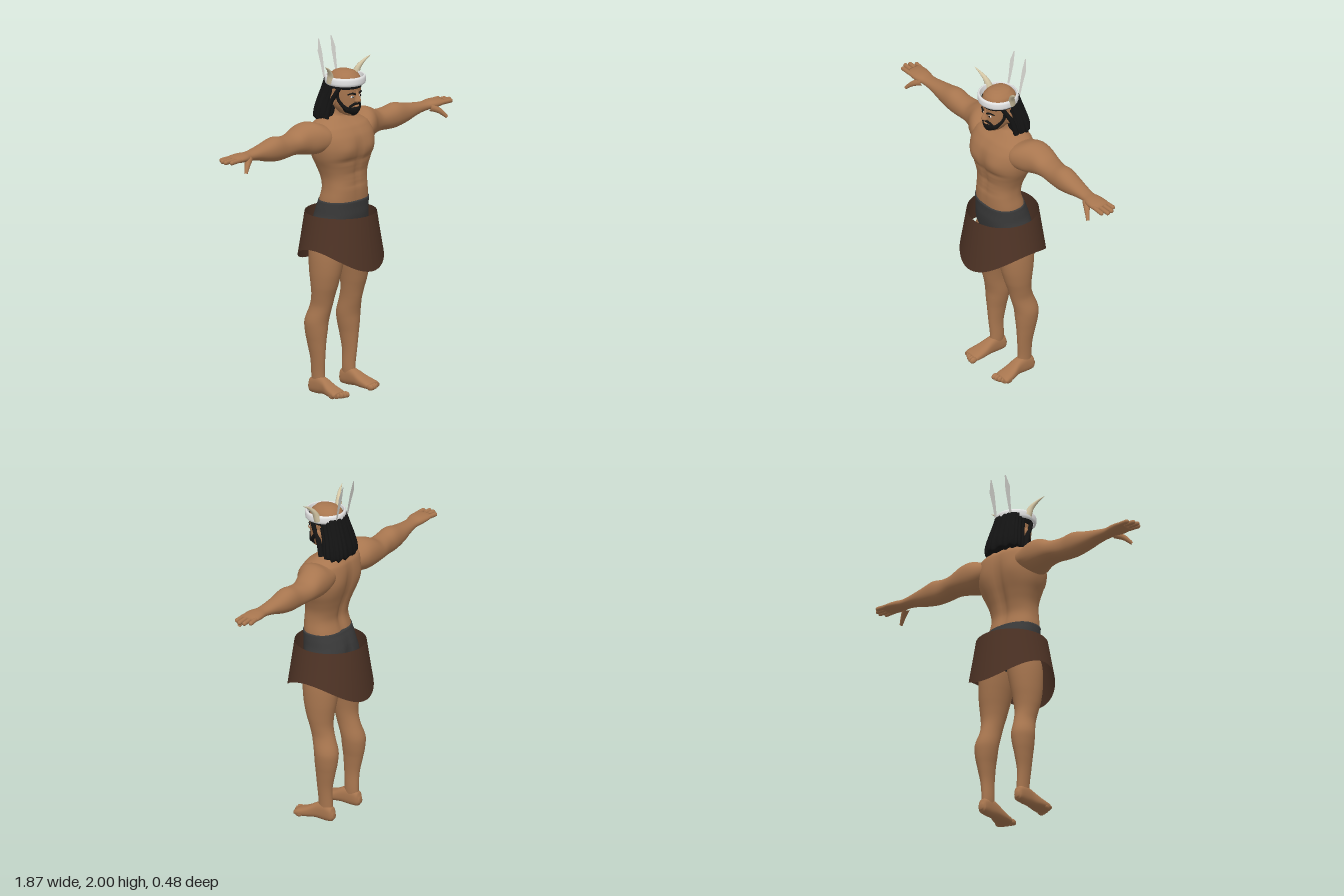
import * as THREE from 'three';

const mat = (name, color, extra = {}) => {
  const m = new THREE.MeshStandardMaterial({ color, ...extra });
  m.name = name;
  return m;
};
const gauss = (d, s) => Math.exp(-(d * d) / (s * s));

// Loft along an axis. Rows: [t, a0, a1, b0, b1], t rising.
// (a, b) is (z, x) for axis y, (y, z) for axis x, (x, y) for axis z.
function loft(axis, rows, { seg = 32, steps = 4, pow = 2, bump } = {}) {
  const order = { x: [2, 0, 1], y: [1, 2, 0], z: [0, 1, 2] }[axis]; // picks from [a, b, t]
  const pos = [], idx = [], last = rows.length - 1;
  const put = (a, b, t, ang) => {
    const s = [a, b, t];
    const v = new THREE.Vector3(s[order[0]], s[order[1]], s[order[2]]);
    if (bump) bump(v, ang);
    pos.push(v.x, v.y, v.z);
  };
  const cr = (k, u, c) => {
    const r = (i) => rows[Math.min(last, Math.max(0, i))][c];
    const p0 = r(k - 1), p1 = r(k), p2 = r(k + 1), p3 = r(k + 2);
    const m1 = (p2 - p0) / 2, m2 = (p3 - p1) / 2;
    return p1 + m1 * u + (3 * (p2 - p1) - 2 * m1 - m2) * u * u + (2 * (p1 - p2) + m1 + m2) * u * u * u;
  };
  const rings = last * steps + 1, sp = (v) => Math.sign(v) * Math.abs(v) ** (2 / pow);
  for (let i = 0; i < rings; i++) {
    const k = Math.min(last - 1, Math.floor(i / steps)), u = i / steps - k;
    const [a0, a1, b0, b1] = [1, 2, 3, 4].map((c) => cr(k, u, c));
    const t = rows[k][0] + (rows[k + 1][0] - rows[k][0]) * u;
    for (let j = 0; j < seg; j++) {
      const g = (j / seg) * Math.PI * 2;
      put((a0 + a1) / 2 + sp(Math.cos(g)) * (a1 - a0) / 2, (b0 + b1) / 2 + sp(Math.sin(g)) * (b1 - b0) / 2, t, g);
      const n = (j + 1) % seg, p = i * seg + j, q = i * seg + n;
      if (i < rings - 1) idx.push(p, q, q + seg, p, q + seg, p + seg);
    }
  }
  for (const [row, base] of [[rows[0], 0], [rows[last], (rings - 1) * seg]]) {
    const c = pos.length / 3;
    put((row[1] + row[2]) / 2, (row[3] + row[4]) / 2, row[0], 0);
    for (let j = 0; j < seg; j++) {
      const p = base + j, q = base + (j + 1) % seg;
      base ? idx.push(c, p, q) : idx.push(c, q, p);
    }
  }
  const geo = new THREE.BufferGeometry();
  geo.setAttribute('position', new THREE.Float32BufferAttribute(pos, 3));
  geo.setIndex(idx);
  geo.computeVertexNormals();
  return geo;
}
// Rows symmetric in x: [y, z0, z1, halfWidth]
const sym = (rows) => rows.map(([y, z0, z1, w]) => [y, z0, z1, -w, w]);

function mirrored(geo) {
  const g = geo.clone().scale(-1, 1, 1), i = g.index.array;
  for (let k = 0; k < i.length; k += 3) [i[k], i[k + 1]] = [i[k + 1], i[k]];
  g.computeVertexNormals();
  return g;
}
const V = (p) => new THREE.Vector3(...p);

// Tube tapering from r0 to r1 through the points
function taper(points, r0, r1, n = 16) {
  const curve = new THREE.CatmullRomCurve3(points.map(V)), R = 10;
  const g = new THREE.TubeGeometry(curve, n, 1, R), p = g.attributes.position;
  for (let i = 0; i < p.count; i++) {
    const u = Math.floor(i / (R + 1)) / n, c = curve.getPointAt(u);
    const v = new THREE.Vector3().fromBufferAttribute(p, i).sub(c).multiplyScalar(r0 + (r1 - r0) * u).add(c);
    p.setXYZ(i, v.x, v.y, v.z);
  }
  return g;
}
function capsule(a, b, r) {
  const A = V(a), B = V(b), d = B.clone().sub(A);
  const q = new THREE.Quaternion().setFromUnitVectors(new THREE.Vector3(0, 1, 0), d.clone().normalize());
  const m = A.add(B).multiplyScalar(0.5);
  return new THREE.CapsuleGeometry(r, d.length(), 5, 12).applyQuaternion(q).translate(m.x, m.y, m.z);
}
const blob = (c, s) => new THREE.SphereGeometry(1, 16, 12).scale(...s).translate(...c);

export function createModel() {
  const root = new THREE.Group();
  root.name = 'figure';
  const skin = mat('skin', 0xa8764f), hair = mat('hair black', 0x141414), white = mat('band white', 0xe9e9e9);
  const cloth = mat('cloth grey', 0x3a3a3a), horn = mat('horn ivory', 0xd6c8a6);
  const hide = mat('hide brown', 0x4e3325, { side: THREE.DoubleSide });
  const plume = mat('feather grey', 0xd9d9d3, { side: THREE.DoubleSide });
  const add = (name, geo, m) => {
    const mesh = new THREE.Mesh(geo, m);
    mesh.name = name;
    root.add(mesh);
  };
  const pair = (name, geo, m) => {
    add(name + 'Left', geo, m);
    add(name + 'Right', mirrored(geo), m);
  };

  // Torso with chest, belly and back muscles
  add('torso', loft('y', sym([
    [1.05, -.1, .12, .148], [1.11, -.086, .127, .15], [1.18, -.07, .128, .141], [1.24, -.08, .122, .143],
    [1.3, -.1, .126, .163], [1.36, -.12, .14, .19], [1.42, -.132, .145, .203], [1.48, -.135, .135, .2],
    [1.53, -.127, .1, .185], [1.56, -.105, .055, .135], [1.585, -.08, .03, .065], [1.65, -.06, .04, .055],
  ]), { seg: 64, steps: 5, pow: 2.4, bump: (v) => {
    const ax = Math.abs(v.x);
    if (v.z > .03) {
      v.z += .012 * gauss(ax - .09, .06) * gauss(v.y - 1.41, .05);
      v.z -= .008 * gauss(ax, .016) * gauss(v.y - 1.33, .16);
      v.z -= .008 * gauss(v.y - 1.345, .015) * gauss(ax - .08, .08);
      v.z -= .004 * (gauss(v.y - 1.27, .01) + gauss(v.y - 1.2, .01)) * gauss(ax, .08);
    } else if (v.z < -.02) {
      v.z += .022 * gauss(ax, .025) * gauss(v.y - 1.3, .2);
      v.z -= .008 * gauss(ax - .1, .05) * gauss(v.y - 1.42, .07);
    }
  } }), skin);

  // Arms and hands
  pair('arm', loft('x', [
    [.08, 1.43, 1.53, -.11, .05], [.16, 1.4, 1.553, -.13, .085], [.22, 1.388, 1.572, -.138, .068],
    [.28, 1.395, 1.56, -.138, .032], [.35, 1.405, 1.526, -.132, .014], [.43, 1.4, 1.526, -.116, .011],
    [.5, 1.4, 1.537, -.114, .012], [.58, 1.415, 1.52, -.105, .006], [.66, 1.438, 1.507, -.09, 0],
    [.73, 1.45, 1.5, -.08, 0], [.78, 1.453, 1.503, -.088, .014], [.83, 1.459, 1.5, -.092, .016],
    [.865, 1.465, 1.494, -.086, .01],
  ], { pow: 2.15 }), skin);
  [[-.077, .895], [-.051, .918], [-.024, .924], [.003, .905]].forEach(([z, tip], i) =>
    pair('finger' + i, capsule([.84, 1.48, z], [tip, 1.478, z * 1.08], .0125), skin));
  pair('thumb', taper([[.75, 1.468, -.01], [.79, 1.448, .016], [.818, 1.422, .033], [.832, 1.406, .042]], .022, .009), skin);

  // Legs and feet
  pair('leg', loft('y', [
    [.03, -.1, 0, .1, .155], [.1, -.098, -.012, .096, .156], [.2, -.1, -.006, .098, .165],
    [.3, -.12, 0, .087, .181], [.36, -.131, .005, .075, .191], [.42, -.132, .01, .067, .194],
    [.5, -.106, .03, .066, .178], [.56, -.092, .046, .06, .182], [.62, -.095, .066, .05, .19],
    [.7, -.108, .086, .034, .196], [.8, -.12, .1, .015, .195], [.88, -.123, .102, .008, .184],
    [.95, -.11, .09, .02, .16],
  ]), skin);
  pair('foot', loft('z', [
    [-.115, .115, .142, .02, .05], [-.1, .1, .156, .003, .085], [-.05, .096, .16, 0, .105],
    [0, .092, .164, .004, .092], [.05, .088, .18, .001, .065], [.1, .087, .19, 0, .046], [.122, .092, .186, .003, .036],
  ], { pow: 2.5 }), skin);
  for (let i = 0; i < 5; i++)
    pair('toe' + i, blob([.1 + i * .0195, .018, .128 - i * i * .0022], [i ? .0105 : .0145, .018, .024]), skin);

  // Shorts and flared skirt
  add('shorts', loft('y', sym([
    [.85, -.06, .05, .02], [.88, -.105, .09, .07], [.91, -.128, .108, .15], [.95, -.135, .118, .18],
    [1.02, -.125, .13, .164], [1.07, -.108, .132, .16], [1.11, -.092, .134, .157],
  ]), { seg: 48, pow: 2.3, bump: (v) => {
    if (v.z < 0) v.z += .02 * gauss(v.x, .02) * gauss(v.y - .96, .08);
  } }), cloth);
  const skirt = new THREE.CylinderGeometry(.2, .239, 1, 72, 6, true), sp = skirt.attributes.position;
  for (let i = 0; i < sp.count; i++) {
    const z = sp.getZ(i), c = z / Math.hypot(sp.getX(i), z);
    const hem = .845 - .122 * c * c;
    sp.setY(i, hem + (1.03 - hem) * (sp.getY(i) + .5));
  }
  skirt.computeVertexNormals();
  add('skirt', skirt, hide);

  // Head
  add('head', loft('y', sym([
    [1.588, .03, .09, .02], [1.6, 0, .108, .042], [1.64, -.04, .115, .068], [1.68, -.06, .118, .079],
    [1.73, -.07, .121, .084], [1.78, -.072, .122, .084], [1.81, -.06, .112, .076], [1.833, -.035, .088, .053],
    [1.842, -.01, .063, .028], [1.845, .02, .035, .008],
  ]), { pow: 2.2 }), skin);
  add('nose', loft('y', sym([
    [1.666, .1, .122, .01], [1.676, .1, .145, .018], [1.688, .1, .146, .015], [1.71, .1, .134, .01], [1.738, .1, .122, .008],
  ]), { seg: 16 }), skin);
  pair('ear', blob([.088, 1.685, .022], [.012, .034, .02]), skin);
  pair('eye', blob([.032, 1.703, .114], [.0125, .0065, .005]), white);
  pair('pupil', blob([.032, 1.703, .1175], [.0055, .0058, .003]), hair);
  pair('eyebrow', taper([[.014, 1.716, .121], [.035, 1.724, .117], [.058, 1.716, .1]], .006, .003), hair);

  // Beard and moustache
  add('beard', loft('y', sym([
    [1.588, .06, .1, .01], [1.597, .04, .113, .026], [1.612, .03, .122, .047], [1.63, .03, .124, .06], [1.642, .035, .121, .066],
  ])), hair);
  pair('sideBeard', taper([[.045, 1.63, .092], [.063, 1.655, .07], [.077, 1.69, .05], [.083, 1.75, .05]], .014, .008), hair);
  pair('moustache', taper([[0, 1.663, .121], [.022, 1.66, .117], [.04, 1.646, .105], [.046, 1.628, .1]], .0075, .007), hair);
  add('lip', blob([0, 1.646, .119], [.017, .005, .007]), skin);

  // Long hair with strands
  add('hair', loft('y', sym([
    [1.556, -.118, -.005, .105], [1.572, -.133, 0, .119], [1.62, -.13, .008, .117], [1.68, -.114, .018, .106],
    [1.73, -.098, .035, .096], [1.79, -.08, .05, .089],
  ]), { seg: 120, pow: 2.5, bump: (v, a) => {
    const k = 1 + .028 * Math.sin(a * 22);
    v.x *= k;
    v.z = -.04 + (v.z + .04) * k;
    v.y -= .008 * Math.sin(a * 11) * gauss(v.y - 1.556, .02);
  } }), hair);
  add('hairline', loft('y', sym([[1.747, -.072, .1235, .0875], [1.765, -.075, .126, .09], [1.785, -.075, .126, .089]]), { pow: 2.2 }), hair);
  pair('frontLock', taper([[.08, 1.765, .07], [.092, 1.72, .045], [.1, 1.66, .012], [.108, 1.575, -.012]], .012, .016), hair);

  // Headband
  const ring = [[.1, 1.77], [.106, 1.765], [.112, 1.77], [.1145, 1.78], [.1145, 1.8], [.112, 1.81], [.106, 1.814], [.1, 1.81], [.1, 1.77]];
  add('headband', new THREE.LatheGeometry(ring.map((p) => new THREE.Vector2(...p)), 48).translate(0, 0, .033), white);

  // Horns and feathers
  pair('horn', taper([[.1, 1.785, .015], [.117, 1.832, .026], [.147, 1.866, .04], [.189, 1.892, .053]], .023, .001), horn);
  const leaf = new THREE.Shape([[.046, 0], [.06, 0], [.064, .07], [.073, .15], [.055, .218], [.047, .216], [.039, .14], [.042, .06]]
    .map((p) => new THREE.Vector2(...p)));
  pair('feather', new THREE.ShapeGeometry(leaf).rotateX(-.2).translate(0, 1.787, -.076), plume);

  return root;
}
